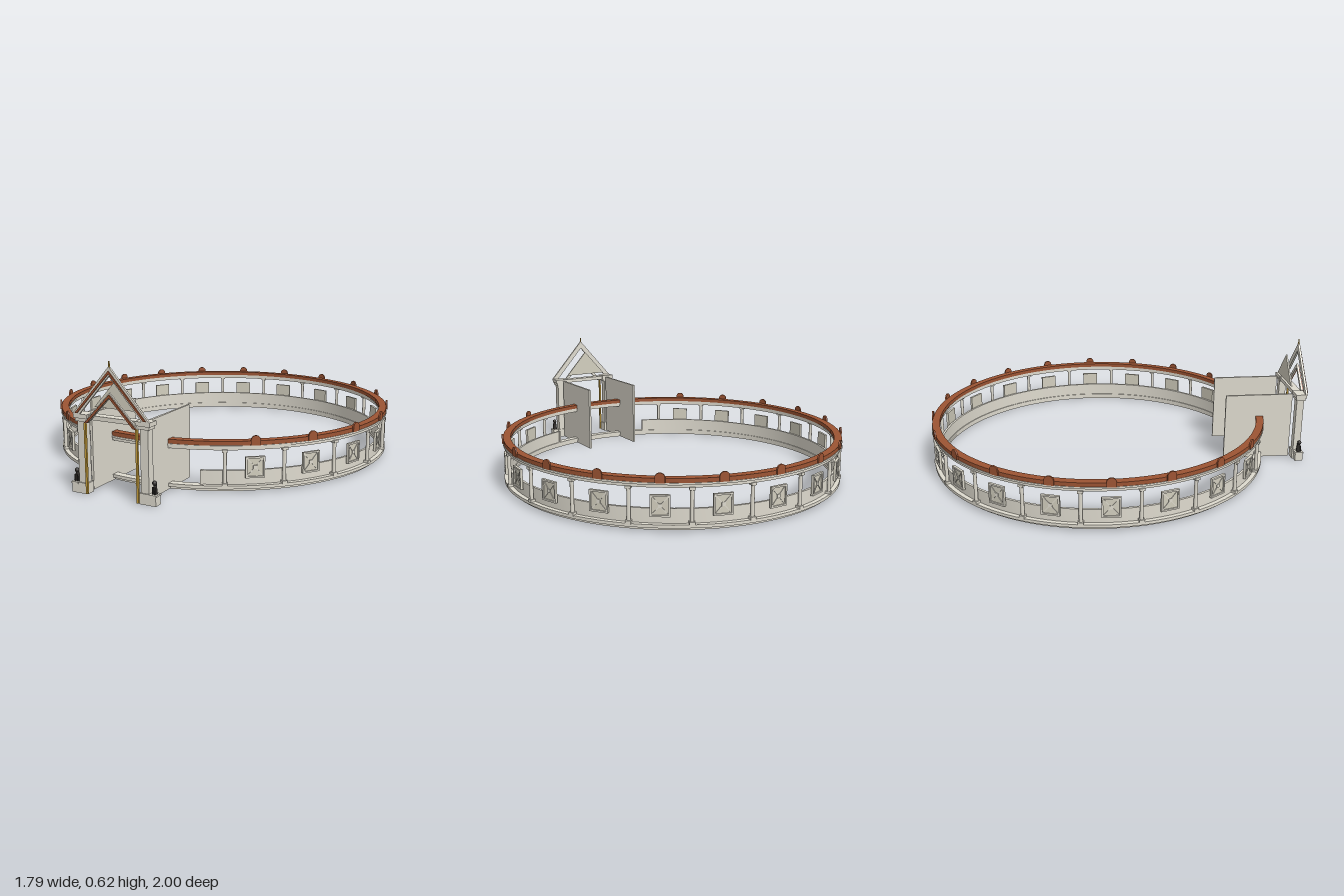
import * as THREE from 'three';
import { toCreasedNormals } from 'three/addons/utils/BufferGeometryUtils.js';

const mat = (color) => new THREE.MeshStandardMaterial({ color });
const stone = mat(0xdedace);
const panelStone = mat(0xd2cebe);
const tile = mat(0x9c5433);
const gold = mat(0xc9a03c);
const dark = mat(0x2e2b28);

const CENTRE_Z = -0.105;
const STEP = Math.PI / 10; // twenty bays round the ring

function add(parent, name, geometry, material, x = 0, y = 0, z = 0) {
  const mesh = new THREE.Mesh(geometry, material);
  mesh.name = name;
  mesh.position.set(x, y, z);
  parent.add(mesh);
  return mesh;
}

// Box given by its extents
function block(parent, name, material, x0, x1, y0, y1, z0, z1) {
  return add(parent, name, new THREE.BoxGeometry(x1 - x0, y1 - y0, z1 - z0), material,
    (x0 + x1) / 2, (y0 + y1) / 2, (z0 + z1) / 2);
}

// Ring of rectangular section, optionally open at the front
function ring(parent, name, material, r0, r1, y0, y1, gap = 0) {
  const profile = [[r0, y0], [r1, y0], [r1, y1], [r0, y1], [r0, y0]].map(p => new THREE.Vector2(...p));
  const geo = new THREE.LatheGeometry(profile, 100, gap, Math.PI * 2 - 2 * gap);
  return add(parent, name, toCreasedNormals(geo, 0.5), material);
}

function extrude(points, depth) {
  const shape = new THREE.Shape(points.map(p => new THREE.Vector2(...p)));
  return new THREE.ExtrudeGeometry(shape, { depth, bevelEnabled: false });
}

// Inverted V of two sloping rafters
function chevron(parent, name, material, w, y0, apex, t, z0, z1) {
  const s = t * w / (apex - y0);
  const pts = [[-w, y0], [-w + s, y0], [0, apex - t], [w - s, y0], [w, y0], [0, apex]];
  return add(parent, name, extrude(pts, z1 - z0), material, 0, 0, z0);
}

function latticeWindow() {
  const g = new THREE.Group();
  g.name = 'latticeWindow';
  const w = 0.045, h = 0.05;
  block(g, 'windowPanel', panelStone, -w, w, -h, h, -0.005, 0.002);
  for (const s of [-1, 1]) {
    block(g, 'windowJamb', stone, s * 0.041 - 0.004, s * 0.041 + 0.004, -h, h, 0.002, 0.008);
    block(g, 'windowRail', stone, -0.037, 0.037, s * 0.046 - 0.004, s * 0.046 + 0.004, 0.002, 0.008);
    const bar = block(g, 'latticeBar', stone, -0.054, 0.054, -0.002, 0.002, 0.002, 0.005);
    bar.rotation.z = s * Math.atan2(0.042, 0.037);
  }
  block(g, 'latticeCentre', stone, -0.009, 0.009, -0.009, 0.009, 0.002, 0.006);
  return g;
}

function column() {
  const g = new THREE.Group();
  g.name = 'column';
  add(g, 'columnShaft', new THREE.CylinderGeometry(0.009, 0.009, 0.17, 12), stone, 0, 0.115, 0);
  block(g, 'columnBase', stone, -0.013, 0.013, 0.03, 0.045, -0.013, 0.013);
  block(g, 'columnCapital', stone, -0.013, 0.013, 0.19, 0.203, -0.013, 0.013);
  return g;
}

// Round-topped tile ornament on the eaves
function eaveOrnament() {
  const shape = new THREE.Shape();
  shape.moveTo(-0.023, 0.222);
  shape.lineTo(0.023, 0.222);
  shape.lineTo(0.023, 0.245);
  shape.absarc(0, 0.245, 0.023, 0, Math.PI, false);
  shape.closePath();
  const geo = new THREE.ExtrudeGeometry(shape, { depth: 0.008, bevelEnabled: false, curveSegments: 10 });
  const mesh = new THREE.Mesh(geo, tile);
  mesh.name = 'eaveOrnament';
  return mesh;
}

function guardian() {
  const g = new THREE.Group();
  g.name = 'guardianStatue';
  add(g, 'statueBody', new THREE.CylinderGeometry(0.007, 0.012, 0.045, 10), dark, 0, 0.022, 0);
  add(g, 'statueHead', new THREE.SphereGeometry(0.011, 12, 8), dark, 0, 0.05, 0.004);
  for (const s of [-1, 1]) {
    add(g, 'statueLeg', new THREE.CylinderGeometry(0.003, 0.004, 0.032, 6), dark, s * 0.006, 0.016, 0.011);
  }
  return g;
}

function circularGallery() {
  const g = new THREE.Group();
  g.name = 'circularGallery';
  g.position.z = CENTRE_Z;
  const gap = 0.35;

  // Stepped floor, low wall, entablature and roof
  ring(g, 'lowerStep', stone, 0.855, 0.873, 0.004, 0.018);
  ring(g, 'upperStep', stone, 0.851, 0.89, 0.018, 0.033);
  ring(g, 'lowWall', stone, 0.856, 0.868, 0.033, 0.1, gap);
  ring(g, 'entablature', stone, 0.857, 0.887, 0.2, 0.213);
  ring(g, 'cornice', stone, 0.854, 0.892, 0.213, 0.222);
  ring(g, 'tiledRoof', tile, 0.85, 0.889, 0.222, 0.242);

  for (const s of [-1, 1]) {
    const post = block(g, 'wallEndPost', stone, -0.006, 0.006, 0.033, 0.1, -0.009, 0.009);
    post.position.x = s * 0.862 * Math.sin(gap);
    post.position.z = 0.862 * Math.cos(gap);
    post.rotation.y = s * gap;
  }

  // Radial placement of one part, facing outward
  const place = (part, angle, r, y = 0) => {
    part.position.set(r * Math.sin(angle), y, r * Math.cos(angle));
    part.rotation.y = angle;
    g.add(part);
  };
  // The three bays behind the gate stay open
  for (let i = 2; i <= 18; i++) {
    place(latticeWindow(), i * STEP, 0.878, 0.117);
    place(eaveOrnament(), i * STEP, 0.887);
  }
  for (let i = 1; i <= 18; i++) place(column(), (i + 0.5) * STEP, 0.88);
  return g;
}

function gate() {
  const g = new THREE.Group();
  g.name = 'gate';

  for (const s of [-1, 1]) {
    const side = (name, m, a, b, ...rest) =>
      block(g, name, m, Math.min(s * a, s * b), Math.max(s * a, s * b), ...rest);
    side('passageWall', stone, 0.145, 0.157, 0.004, 0.362, 0.565, 0.925);
    side('gatePillar', stone, 0.145, 0.185, 0, 0.335, 0.942, 0.98);
    side('pillarCapital', stone, 0.132, 0.193, 0.335, 0.35, 0.937, 0.985);
    side('pillarAbacus', stone, 0.126, 0.2, 0.35, 0.37, 0.933, 0.99);
    side('pillarPlinth', stone, 0.138, 0.19, 0, 0.05, 0.936, 0.986);
    side('statuePedestal', stone, 0.185, 0.222, 0, 0.042, 0.945, 0.986);
    side('statuePedestalTop', stone, 0.187, 0.225, 0.042, 0.05, 0.943, 0.988);
    side('goldenPost', gold, 0.13, 0.14, 0.005, 0.335, 0.985, 0.995);
    const statue = guardian();
    statue.position.set(s * 0.206, 0.05, 0.963);
    g.add(statue);
  }

  // Lintel and gables
  block(g, 'lintel', stone, -0.126, 0.126, 0.347, 0.367, 0.937, 0.98);
  add(g, 'pedimentPanel', extrude([[-0.125, 0.395], [0.125, 0.395], [0, 0.535]], 0.008), panelStone, 0, 0, 0.922);
  chevron(g, 'upperRafters', stone, 0.2, 0.37, 0.597, 0.042, 0.983, 0.994);
  chevron(g, 'upperRafterTrim', tile, 0.185, 0.375, 0.578, 0.014, 0.994, 0.999);
  chevron(g, 'lowerRafters', stone, 0.14, 0.335, 0.482, 0.024, 0.984, 0.993);
  chevron(g, 'lowerRafterTrim', tile, 0.134, 0.335, 0.474, 0.014, 0.993, 0.999);
  add(g, 'finial', new THREE.CylinderGeometry(0.003, 0.005, 0.04, 8), gold, 0, 0.6, 0.988);
  return g;
}

export function createModel() {
  const model = new THREE.Group();
  model.name = 'circularGalleryWithGate';
  model.add(circularGallery(), gate());
  return model;
}
